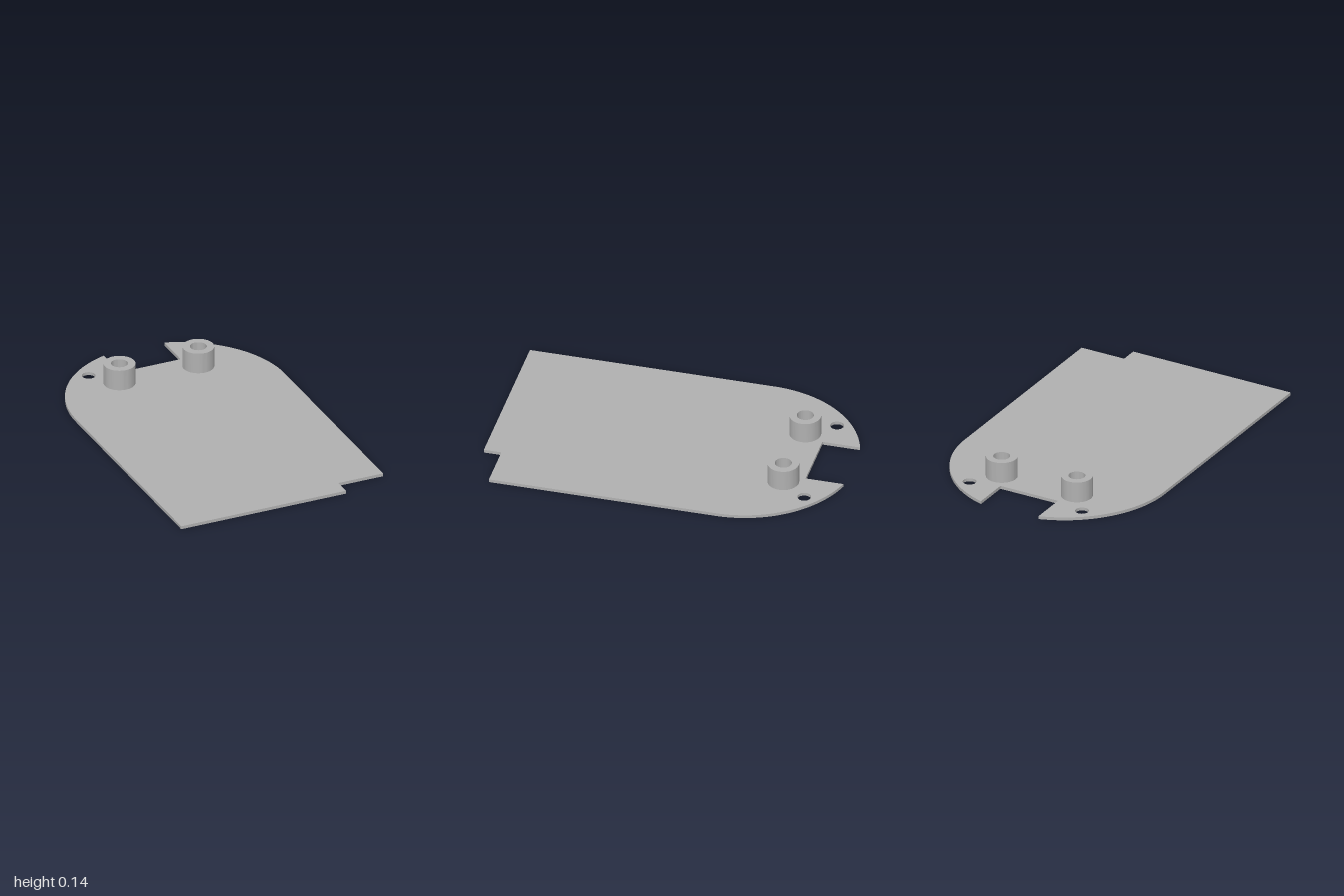
import * as THREE from 'three';
import { toCreasedNormals } from 'three/addons/utils/BufferGeometryUtils.js';

const HALF_W = 0.635, THICK = 0.018, TOP = 0.14;
const NOTCH_X = 0.183, NOTCH_Z = 0.785;

// Extrude a plan shape (x, -z) upwards, smooth on curves and sharp at edges
function extrudeUp(shape, height) {
  const geometry = new THREE.ExtrudeGeometry(shape, { depth: height, bevelEnabled: false, curveSegments: 32 });
  geometry.rotateX(-Math.PI / 2);
  return toCreasedNormals(geometry, 0.6);
}

function circleHole(x, y, r) {
  return new THREE.Path().absarc(x, y, r, 0, Math.PI * 2, true);
}

export function createModel() {
  const group = new THREE.Group();
  const grey = new THREE.MeshStandardMaterial({ color: 0xb0b0b0 });
  grey.name = 'grey';

  const add = (name, geometry, x = 0, y = 0, z = 0) => {
    const mesh = new THREE.Mesh(geometry, grey);
    mesh.name = name;
    mesh.position.set(x, y, z);
    group.add(mesh);
  };

  // Base plate: round back with a square notch, stepped front left corner
  const notchAngle = Math.acos(NOTCH_X / HALF_W);
  const arcY = 1 - HALF_W * Math.sin(notchAngle);
  const plate = new THREE.Shape();
  plate.moveTo(-HALF_W, -1);
  plate.lineTo(0.365, -1);
  plate.lineTo(0.365, -0.9);
  plate.lineTo(HALF_W, -0.9);
  plate.absarc(0, arcY, HALF_W, 0, notchAngle, false);
  plate.lineTo(NOTCH_X, NOTCH_Z);
  plate.lineTo(-NOTCH_X, NOTCH_Z);
  plate.absarc(0, arcY, HALF_W, Math.PI - notchAngle, Math.PI, false);
  plate.closePath();

  // Screw holes through the plate
  for (const side of [-1, 1]) plate.holes.push(circleHole(side * 0.357, 0.823, 0.038));
  add('basePlate', extrudeUp(plate, THICK));

  // Hollow posts standing on the plate
  const ring = new THREE.Shape().absarc(0, 0, 0.088, 0, Math.PI * 2, false);
  ring.holes.push(circleHole(0, 0, 0.047));
  const post = extrudeUp(ring, TOP - THICK);
  add('rightPost', post, -0.239, THICK, -0.673);
  add('leftPost', post, 0.239, THICK, -0.673);

  return group;
}
